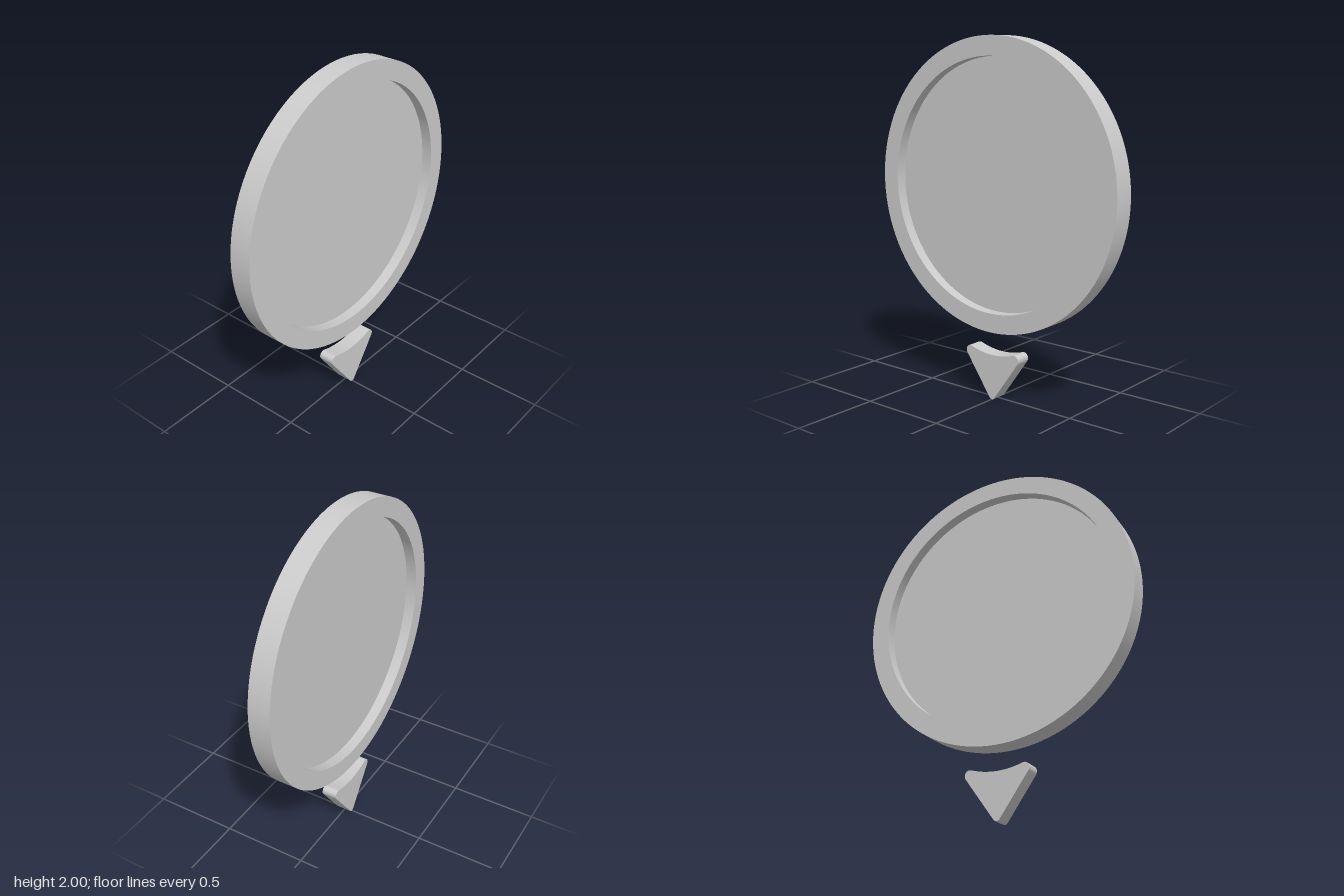
import * as THREE from 'three';
import { toCreasedNormals } from 'three/addons/utils/BufferGeometryUtils.js';

const material = new THREE.MeshStandardMaterial({ color: 0xcccccc, side: THREE.DoubleSide });

// Extrude a profile drawn in the z-y plane, centred across x
function slab(name, shape, width, curveSegments) {
  const extruded = new THREE.ExtrudeGeometry(shape, { depth: width, bevelEnabled: false, curveSegments });
  extruded.translate(0, 0, -width / 2).rotateY(Math.PI / 2);
  const mesh = new THREE.Mesh(toCreasedNormals(extruded, 0.6), material);
  mesh.name = name;
  return mesh;
}

export function createModel() {
  const group = new THREE.Group();
  group.name = 'roundSignWithPointer';
  const centreY = 1.196, outerR = 0.804, innerR = 0.697;

  // Round frame, open in the middle
  const ring = new THREE.Shape().absarc(0, 0, outerR, 0, Math.PI * 2, false);
  ring.holes.push(new THREE.Path().absarc(0, 0, innerR, 0, Math.PI * 2, true));
  const frame = slab('frame', ring, 0.125, 128);
  frame.position.y = centreY;
  group.add(frame);

  // Thin panel halfway through the frame, recessed on both sides
  const panel = new THREE.Mesh(new THREE.CylinderGeometry(innerR, innerR, 0.003, 128), material);
  panel.name = 'panel';
  panel.rotation.z = Math.PI / 2;
  panel.position.y = centreY;
  group.add(panel);

  // Separate pointer below: rounded corners and a dished top
  const p = new THREE.Shape();
  p.moveTo(0.018, 0.01);
  p.lineTo(0.179, 0.237);
  p.bezierCurveTo(0.194, 0.26, 0.178, 0.291, 0.146, 0.282);
  p.bezierCurveTo(0.05, 0.25, -0.05, 0.25, -0.146, 0.282);
  p.bezierCurveTo(-0.178, 0.291, -0.194, 0.26, -0.179, 0.237);
  p.lineTo(-0.018, 0.01);
  p.quadraticCurveTo(-0.01, 0, 0, 0);
  p.quadraticCurveTo(0.01, 0, 0.018, 0.01);
  group.add(slab('pointer', p, 0.09, 16));

  return group;
}
